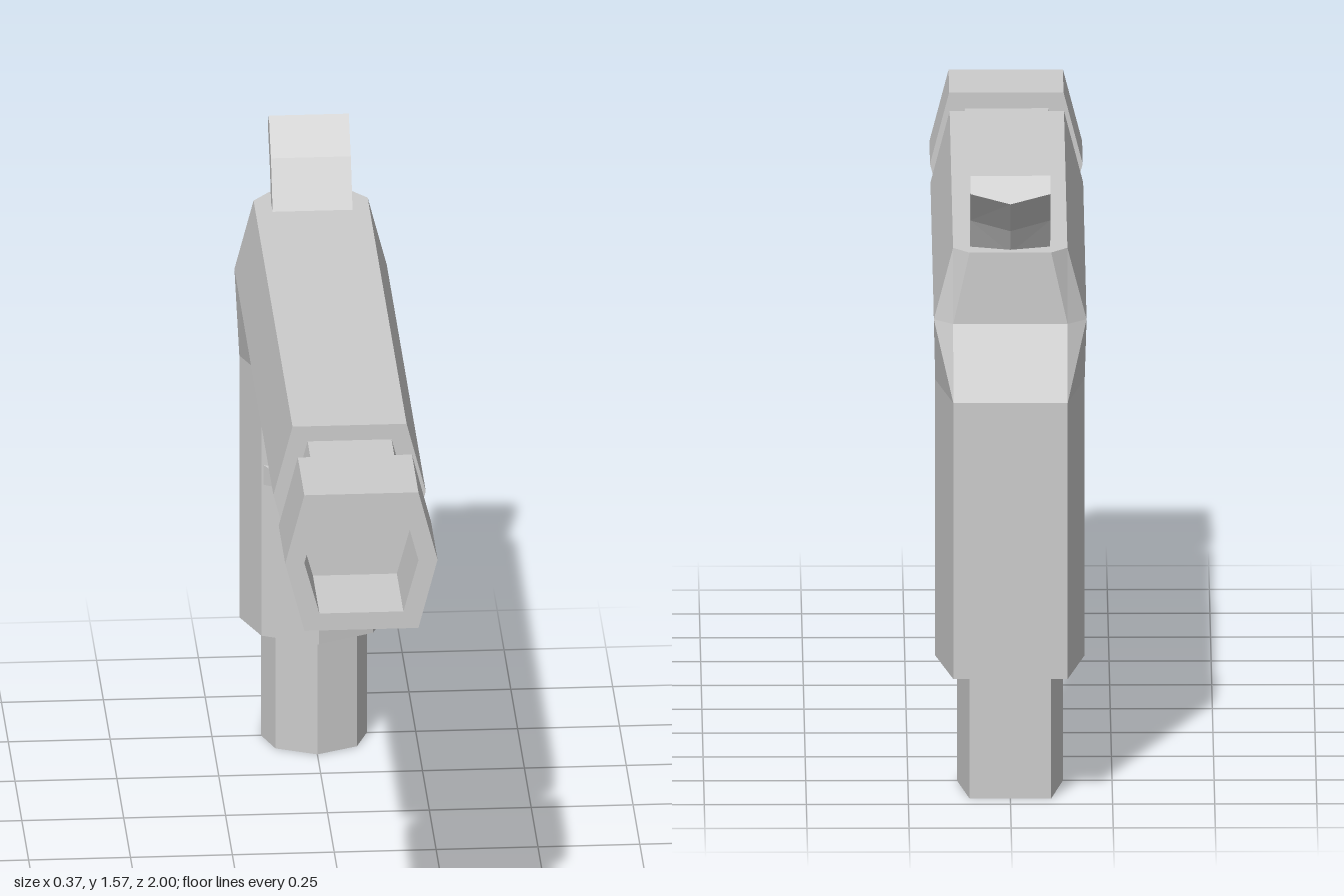
import * as THREE from 'three';

const material = new THREE.MeshStandardMaterial({ color: 0xcccccc, flatShading: true });

// Skin a list of equal-length rings, cap both ends, and face everything outward.
function loft(rings) {
  const tris = [];
  const V = (p) => new THREE.Vector3(...p);
  const R = rings.map((r) => r.map(V));
  const n = R[0].length;
  for (let k = 0; k < R.length - 1; k++) {
    for (let i = 0; i < n; i++) {
      const j = (i + 1) % n;
      const a = R[k][i], b = R[k][j], c = R[k + 1][j], d = R[k + 1][i];
      // split along the shorter diagonal so both halves mirror
      if (a.distanceTo(c) < b.distanceTo(d)) tris.push([a, b, c], [a, c, d]);
      else tris.push([a, b, d], [b, c, d]);
    }
  }
  const cap = (ring, flip) => {
    const mid = ring.reduce((s, p) => s.add(p), new THREE.Vector3()).divideScalar(n);
    ring.forEach((p, i) => {
      const q = ring[(i + 1) % n];
      tris.push(flip ? [mid, q, p] : [mid, p, q]);
    });
  };
  cap(R[0], true);
  cap(R[R.length - 1], false);
  const origin = R[0][0];
  let volume = 0;
  for (const [a, b, c] of tris) {
    const u = a.clone().sub(origin), v = b.clone().sub(origin), w = c.clone().sub(origin);
    volume += u.dot(v.cross(w));
  }
  const points = tris.flatMap(([a, b, c]) => (volume < 0 ? [a, c, b] : [a, b, c]));
  const g = new THREE.BufferGeometry().setFromPoints(points);
  g.computeVertexNormals();
  return g;
}

// Upright hexagon: half width at top/bottom and at the middle, and three heights.
const hexagon = (w, mid, low, centre, high) => [
  [w, low], [mid, centre], [w, high], [-w, high], [-mid, centre], [-w, low],
];
const OUTER = hexagon(0.14, 0.187, 1.01, 1.19, 1.37);
const INNER = hexagon(0.103, 0.14, 1.055, 1.19, 1.33);
const toVec2 = (pts) => pts.map(([x, y]) => new THREE.Vector2(x, y));
const prism = (pts, z0, z1) => loft([z0, z1].map((z) => pts.map(([x, y]) => [x, y, z])));

// Horizontal ring from its centre-front point and the +x half, mirrored to -x.
function ring(y, [front, ...half]) {
  return [
    [0, y, front],
    ...half.map(([x, z]) => [x, y, z]),
    ...half.slice().reverse().map(([x, z]) => [-x, y, z]),
  ];
}

export function createModel() {
  const group = new THREE.Group();
  const add = (name, geometry) => {
    const mesh = new THREE.Mesh(geometry, material);
    mesh.name = name;
    group.add(mesh);
  };

  // Barrel: long hexagonal body, narrow neck, hollow muzzle
  add('barrelBody', prism(OUTER, -0.87, 0.565));
  add('barrelNeck', prism(INNER, 0.565, 0.76));
  const muzzle = new THREE.Shape(toVec2(OUTER));
  muzzle.holes.push(new THREE.Path(toVec2(INNER)));
  const muzzleGeometry = new THREE.ExtrudeGeometry(muzzle, { depth: 0.24, bevelEnabled: false });
  muzzleGeometry.translate(0, 0, 0.76);
  add('muzzle', muzzleGeometry);

  // Grip, merging upward into the tapered rear of the barrel
  const gripHalf = [-0.565, [0.137, -0.63], [0.183, -0.75], [0.14, -1]];
  add('grip', loft([
    ring(0.315, gripHalf),
    ring(1.01, gripHalf),
    ring(1.19, [-0.6, [0.187, -0.63], [0.187, -0.87], [0.14, -0.92]]),
    ring(1.37, [-0.63, [0.14, -0.63], [0.14, -0.87], [0.1, -0.92]]),
  ]));

  // Magazine stub below the grip
  const magazineHalf = [-0.62, [0.1, -0.665], [0.13, -0.75], [0.1, -0.94]];
  add('magazine', loft([ring(0, magazineHalf), ring(0.33, magazineHalf)]));

  // Trigger guard: [outer z, outer y, half width, inner z, inner y, half width]
  const guard = [
    [-0.34, 1.02, 0.137, -0.455, 1.02, 0.137],
    [-0.34, 0.88, 0.08, -0.41, 0.88, 0.07],
    [-0.44, 0.775, 0.05, -0.485, 0.825, 0.05],
    [-0.55, 0.735, 0.08, -0.55, 0.76, 0.08],
    [-0.635, 0.715, 0.137, -0.635, 0.77, 0.137],
  ];
  add('triggerGuard', loft(guard.map(([oz, oy, ow, iz, iy, iw]) => [
    [-ow, oy, oz], [ow, oy, oz], [iw, iy, iz], [-iw, iy, iz],
  ])));

  // Hammer: flat front, ridged back; [front z, front y, ridge z, ridge y]
  const hammer = [
    [-0.79, 1.36, -0.885, 1.36],
    [-0.86, 1.485, -0.925, 1.425],
    [-0.935, 1.567, -0.998, 1.51],
  ];
  add('hammer', loft(hammer.map(([fz, fy, bz, by]) => {
    const w = 0.098, t = 0.64;
    const sz = fz + (bz - fz) * t, sy = fy + (by - fy) * t;
    return [[-w, fy, fz], [w, fy, fz], [w, sy, sz], [0, by, bz], [-w, sy, sz]];
  })));

  return group;
}
